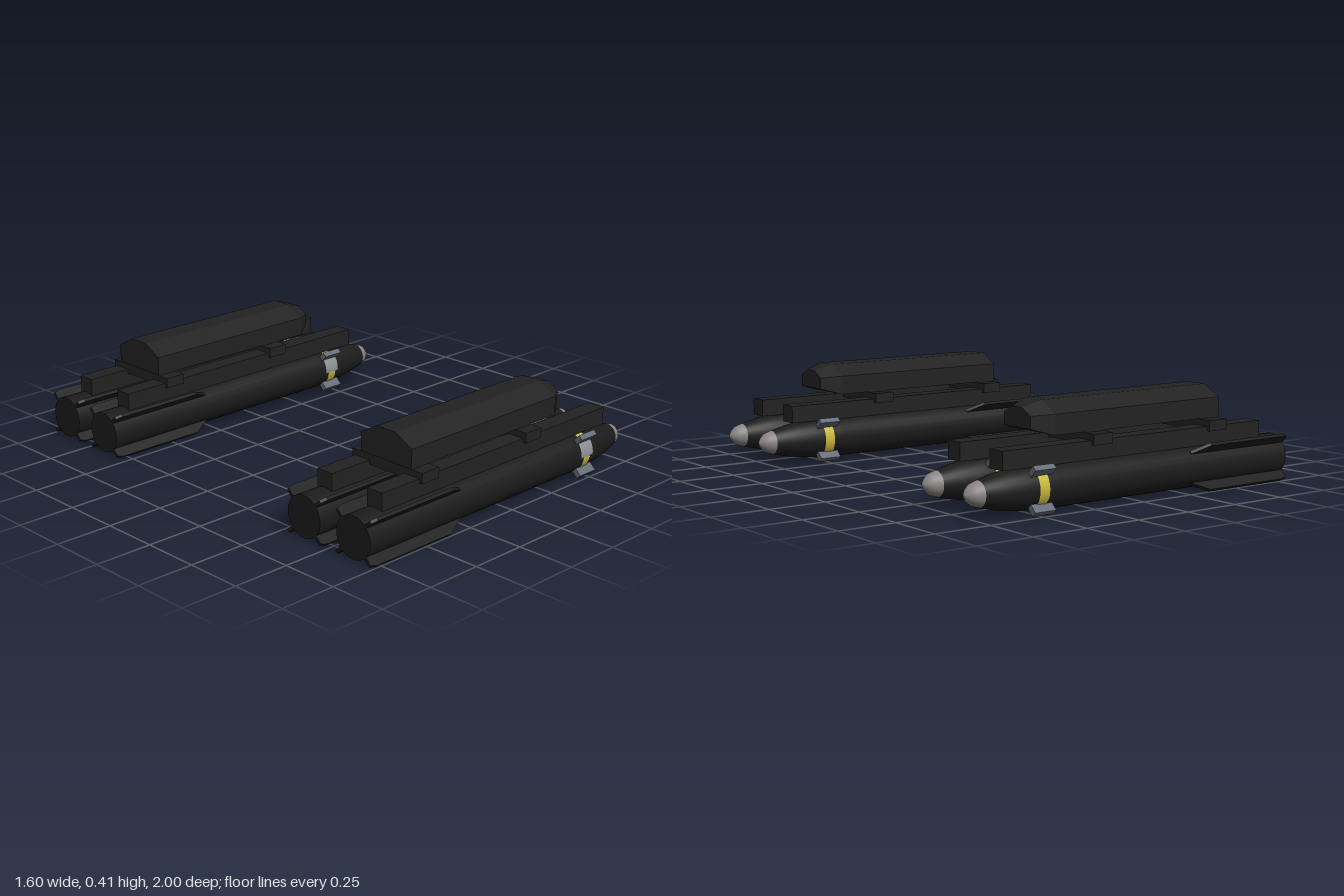
import * as THREE from 'three';

const mat = (name, color, side = THREE.FrontSide) => {
  const m = new THREE.MeshStandardMaterial({ color, side });
  m.name = name;
  return m;
};

// Faceted housing lofted along x: hexagonal section with a chamfered nose
function housingGeometry() {
  const section = [[-0.136, 0.288], [-0.136, 0.37], [-0.05, 0.416], [0.05, 0.416], [0.136, 0.37], [0.136, 0.288]];
  const ring = (x, sz, sy) => section.map(([z, y]) => [x, 0.35 + (y - 0.35) * sy, z * sz]);
  const rings = [ring(-0.49, 1, 1), ring(0.37, 1, 1), ring(0.45, 0.61, 0.62)];
  const n = section.length, pos = [];
  const tri = (...p) => p.forEach(v => pos.push(...v));
  for (let r = 0; r < rings.length - 1; r++) {
    const a = rings[r], b = rings[r + 1];
    for (let i = 0; i < n; i++) {
      const j = (i + 1) % n;
      tri(a[i], a[j], b[j]);
      tri(a[i], b[j], b[i]);
    }
  }
  const back = rings[0], front = rings[2];
  for (let i = 1; i < n - 1; i++) {
    tri(front[0], front[i], front[i + 1]);
    tri(back[0], back[i + 1], back[i]);
  }
  const g = new THREE.BufferGeometry();
  g.setAttribute('position', new THREE.Float32BufferAttribute(pos, 3));
  g.computeVertexNormals();
  return g;
}

export function createModel() {
  const bodyBlack = mat('bodyBlack', 0x1b1b1b);
  const launcherBlack = mat('launcherBlack', 0x222222);
  const finGrey = mat('finGrey', 0x646c78);
  const noseGrey = mat('noseGrey', 0x8a8484);
  const bandYellow = mat('bandYellow', 0xc8b83c, THREE.DoubleSide);
  const patchGrey = mat('patchGrey', 0x8c8f94, THREE.DoubleSide);

  const add = (parent, name, geometry, material, x = 0, y = 0, z = 0) => {
    const m = new THREE.Mesh(geometry, material);
    m.name = name;
    m.position.set(x, y, z);
    parent.add(m);
    return m;
  };

  // Surfaces of revolution about x, profile given as [x, radius]
  const lathe = pts => new THREE.LatheGeometry(pts.map(([x, r]) => new THREE.Vector2(r, x)), 28).rotateZ(-Math.PI / 2);
  const bodyGeo = lathe([[-0.8, 0.09], [0.42, 0.09], [0.5, 0.0885], [0.58, 0.082], [0.66, 0.07], [0.735, 0.052]]);
  const noseGeo = lathe([[0.735, 0.052], [0.765, 0.043], [0.785, 0.026], [0.797, 0.01], [0.8, 0]]);
  const tailGeo = new THREE.CircleGeometry(0.09, 28).rotateY(-Math.PI / 2);
  const bandGeo = new THREE.CylinderGeometry(0.09, 0.092, 0.045, 28, 1, true).rotateZ(-Math.PI / 2);
  const patchGeo = new THREE.CylinderGeometry(0.0915, 0.0925, 0.08, 8, 1, true, -0.68, 0.75).rotateZ(-Math.PI / 2);

  // Tail fin outline with a raked leading edge
  const finShape = new THREE.Shape();
  [[-0.8, 0.08], [-0.28, 0.08], [-0.28, 0.092], [-0.36, 0.134], [-0.77, 0.134], [-0.8, 0.126]]
    .forEach(([x, y], i) => (i ? finShape.lineTo(x, y) : finShape.moveTo(x, y)));
  const finGeo = new THREE.ExtrudeGeometry(finShape, { depth: 0.014, bevelEnabled: false }).translate(0, 0, -0.007);
  const canardGeo = new THREE.BoxGeometry(0.1, 0.045, 0.024).translate(0.49, 0.1025, 0);

  const missile = () => {
    const g = new THREE.Group();
    g.name = 'missile';
    add(g, 'missileBody', bodyGeo, bodyBlack);
    add(g, 'noseTip', noseGeo, noseGrey);
    add(g, 'tailCap', tailGeo, bodyBlack, -0.8);
    add(g, 'yellowBand', bandGeo, bandYellow, 0.488);
    add(g, 'sidePatch', patchGeo, patchGrey, 0.488);
    for (let i = 0; i < 4; i++) {
      const a = Math.PI / 4 + i * Math.PI / 2;
      add(g, 'tailFin', finGeo, bodyBlack).rotation.x = a;
      add(g, 'foreFin', canardGeo, finGrey).rotation.x = a;
    }
    return g;
  };

  const railGeo = new THREE.BoxGeometry(1.34, 0.075, 0.08);
  const barGeo = new THREE.BoxGeometry(0.095, 0.044, 0.376);
  const housingGeo = housingGeometry();

  // One launcher carrying two missiles
  const launcher = () => {
    const g = new THREE.Group();
    g.name = 'launcher';
    add(g, 'housing', housingGeo, launcherBlack);
    for (const x of [-0.438, 0.173]) {
      add(g, 'crossBar', barGeo, launcherBlack, x, 0.263, 0);
      add(g, 'housingMount', new THREE.BoxGeometry(0.095, 0.02, 0.27), launcherBlack, x, 0.286, 0);
    }
    for (const z of [-0.134, 0.134]) {
      add(g, 'rail', railGeo, launcherBlack, -0.018, 0.222, z);
      const m = missile();
      m.position.set(0, 0.102, z);
      g.add(m);
    }
    return g;
  };

  const model = new THREE.Group();
  model.name = 'missileLaunchers';
  for (const z of [-0.767, 0.767]) {
    const l = launcher();
    l.position.z = z;
    model.add(l);
  }
  return model;
}
